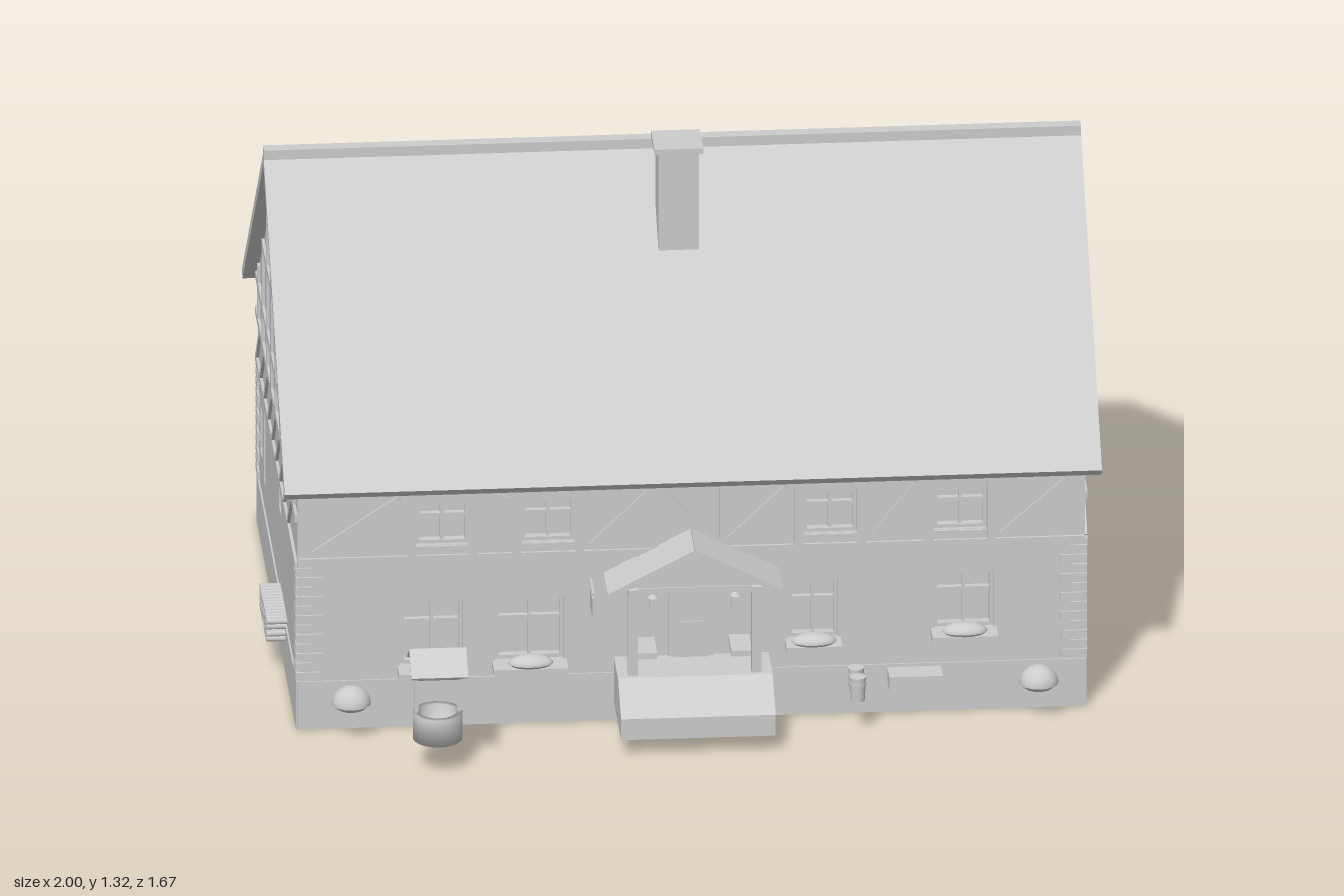
import * as THREE from 'three';

const grey = new THREE.MeshStandardMaterial({ color: 0xcccccc });
grey.name = 'plain grey';

const T = 0.03;                      // wall thickness
const X0 = -0.95, X1 = 0.96, Z0 = -0.77, Z1 = 0.5, RIDGE_Z = -0.135;
const gableY = z => 1.215 - Math.abs(z - RIDGE_Z) * 0.89;

function add(parent, name, geo, x = 0, y = 0, z = 0) {
  const m = new THREE.Mesh(geo, grey);
  m.name = name;
  m.position.set(x, y, z);
  parent.add(m);
  return m;
}
// box given by its limits
const box = (p, name, x0, x1, y0, y1, z0, z1) =>
  add(p, name, new THREE.BoxGeometry(x1 - x0, y1 - y0, z1 - z0), (x0 + x1) / 2, (y0 + y1) / 2, (z0 + z1) / 2);
const cyl = (p, name, r0, r1, h, x, y, z, n = 16) => add(p, name, new THREE.CylinderGeometry(r0, r1, h, n), x, y, z);
const poly = pts => new THREE.Shape(pts.map(([x, y]) => new THREE.Vector2(x, y)));
const extrude = (shape, depth) => new THREE.ExtrudeGeometry(shape, { depth, bevelEnabled: false });
function group(parent, name, x = 0, y = 0, z = 0) {
  const g = new THREE.Group();
  g.name = name;
  g.position.set(x, y, z);
  parent.add(g);
  return g;
}
const dome = (p, name, x, y, z, r, h, d) => {
  const m = add(p, name, new THREE.SphereGeometry(1, 16, 8, 0, Math.PI * 2, 0, Math.PI / 2), x, y, z);
  m.scale.set(r, h, d);
  const base = add(p, name + 'Base', new THREE.CylinderGeometry(r, r * 0.7, 0.012, 16), x, y - 0.006, z);
  base.scale.z = d / r;
};

// timber lying on a wall face, from one point to another
function beam(wall, u1, y1, u2, y2, w = 0.02) {
  const m = add(wall, 'timber', new THREE.BoxGeometry(Math.hypot(u2 - u1, y2 - y1), w, 0.008), (u1 + u2) / 2, (y1 + y2) / 2, T + 0.003);
  m.rotation.z = Math.atan2(y2 - y1, u2 - u1);
}

// wall with window openings [u0, u1, y0, y1], frames and glazing bars
function makeWall(house, name, pos, turn, outline, windows) {
  const wall = group(house, name, ...pos);
  wall.rotation.y = turn;
  const shape = poly(outline);
  for (const [a, b, c, d] of windows) {
    shape.holes.push(new THREE.Path([[a, c], [a, d], [b, d], [b, c]].map(q => new THREE.Vector2(...q))));
    const f = 0.009, mid = (a + b) / 2, bar = c + (d - c) * 0.65;
    box(wall, 'windowFrame', a, a + f, c, d, 0, 0.02);
    box(wall, 'windowFrame', b - f, b, c, d, 0, 0.02);
    box(wall, 'windowFrame', a + f, b - f, d - f, d, 0, 0.02);
    box(wall, 'windowFrame', a + f, b - f, c, c + f, 0, 0.02);
    box(wall, 'glazingBar', mid - 0.004, mid + 0.004, c, d, 0, 0.016);
    box(wall, 'glazingBar', a, b, bar - 0.004, bar + 0.004, 0, 0.015);
  }
  add(wall, name + 'Face', extrude(shape, T));
  // plinth band and corner stones
  const u0 = outline[0][0], u1 = outline[1][0];
  box(wall, 'plinth', u0, u1, 0, 0.125, T - 0.01, T + 0.004);
  for (let i = 0; i < 12; i++) {
    const len = i % 2 ? 0.035 : 0.06, y = 0.13 + i * 0.025;
    box(wall, 'cornerStone', u0 - 0.004, u0 + len, y, y + 0.02, T - 0.01, T + 0.005);
    box(wall, 'cornerStone', u1 - len, u1 + 0.004, y, y + 0.02, T - 0.01, T + 0.005);
  }
  return wall;
}

function longWall(house, name, pos, turn, u0, u1, windows) {
  const w = makeWall(house, name, pos, turn, [[u0, 0], [u1, 0], [u1, 0.65], [u0, 0.65]], windows);
  beam(w, u0, 0.44, u1, 0.44);
  beam(w, u0, 0.615, u1, 0.615);
  const upper = windows.filter(q => q[2] > 0.45).sort((a, b) => a[0] - b[0]);
  for (const [a, b, c] of upper) {
    for (const u of [a - 0.012, b + 0.012]) beam(w, u, 0.45, u, 0.605);
    beam(w, a, c - 0.008, b, c - 0.008, 0.014);
  }
  // posts and slanted braces between the windows
  const ends = [u0, ...upper.flatMap(q => [q[0], q[1]]), u1];
  for (let i = 0; i < ends.length; i += 2) {
    const a = ends[i] + 0.03, b = ends[i + 1] - 0.03, n = Math.max(1, Math.round((b - a) / 0.16));
    for (let k = 0; k < n; k++) {
      const p = a + (b - a) * k / n, q = a + (b - a) * (k + 1) / n;
      if (k) beam(w, p, 0.45, p, 0.605);
      if (k % 2 === 0) beam(w, p + 0.01, 0.46, q - 0.01, 0.6);
      else beam(w, p + 0.01, 0.6, q - 0.01, 0.46);
    }
  }
  return w;
}

function gableWall(house, name, pos, turn, s, windows) {
  const a = Math.min(s * Z0, s * Z1), b = Math.max(s * Z0, s * Z1), r = s * RIDGE_Z;
  const w = makeWall(house, name, pos, turn, [[a, 0], [b, 0], [b, 0.65], [r, 1.215], [a, 0.65]], windows);
  beam(w, a, 0.43, b, 0.43);
  beam(w, a, 0.555, s > 0 ? b : b - 0.16, 0.555);
  beam(w, a, 0.65, b, 0.65);
  for (const y of [0.82, 0.99]) {
    const h = (1.215 - y) / 0.89 - 0.015;
    beam(w, r - h, y, r + h, y);
  }
  for (let i = -4; i <= 4; i++) {
    const u = r + i * 0.14;
    beam(w, u, 0.56, u, gableY(s * u) - 0.012);
  }
  for (let i = 0; i < 9; i++) beam(w, a + 0.02 + i * 0.125, 0.44, a + 0.12 + i * 0.125, 0.545, 0.016);
  return w;
}

function roofSlope(house, turn, x0, x1, notches) {
  const holder = group(house, 'roofSlope', 0, 1.247, RIDGE_Z);
  holder.rotation.y = turn;
  const L = 0.915, N = 0.86, pts = [[x0, 0], [x0, -L]];
  for (const [a, b] of notches) pts.push([a, -L], [a, -N], [b, -N], [b, -L]);
  pts.push([x1, -L], [x1, 0]);
  const m = add(holder, 'roofTiles', extrude(poly(pts), 0.025).translate(0, 0, -0.025));
  m.rotation.x = -Math.atan2(0.685, 0.607);
}

export function createModel() {
  const model = new THREE.Group();
  model.name = 'farmhouse';

  // solid core behind the walls, open foundation below
  const core = poly([[Z0 + T, 0.12], [Z1 - T, 0.12], [Z1 - T, 0.64], [RIDGE_Z, 1.19], [Z0 + T, 0.64]]);
  add(model, 'core', extrude(core, X1 - X0 - 2 * T).rotateY(-Math.PI / 2), X1 - T, 0, 0);
  box(model, 'hearthFoundation', -0.195, 0.195, 0.07, 0.13, -0.2, 0.26);

  // walls
  const sill = [[-0.7, -0.55, 0.16, 0.33], [-0.47, -0.305, 0.165, 0.33], [0.24, 0.36, 0.2, 0.353], [0.594, 0.738, 0.215, 0.364]];
  const front = longWall(model, 'frontWall', [0, 0, Z1 - T], 0, X0, X1, [...sill,
    [-0.663, -0.535, 0.475, 0.588], [-0.406, -0.278, 0.475, 0.588], [0.278, 0.406, 0.475, 0.588], [0.594, 0.722, 0.475, 0.588]]);
  const around = (u, y, w, h) => [u - w / 2, u + w / 2, y - h / 2, y + h / 2];
  longWall(model, 'backWall', [0, 0, Z0 + T], Math.PI, -X1, -X0, [
    ...[-0.66, -0.18, 0.23, 0.7].map(u => around(u, 0.535, 0.11, 0.11)),
    around(0, 0.3, 0.13, 0.12), around(0.53, 0.29, 0.12, 0.12)]);
  const right = gableWall(model, 'rightGable', [X1 - T, 0, 0], Math.PI / 2, -1,
    [[-0.214, -0.09, 0.22, 0.406], [0.022, 0.15, 0.22, 0.406], [0.625, 0.69, 0.48, 0.585]]);
  add(right, 'barePatch', extrude(poly([[0.515, 0.2], [0.54, 0.185], [0.565, 0.195], [0.545, 0.24], [0.55, 0.31], [0.555, 0.355], [0.52, 0.358]]), 0.006), 0, 0, T);
  gableWall(model, 'leftGable', [X0 + T, 0, 0], -Math.PI / 2, 1,
    [around(-0.66, 0.28, 0.06, 0.12), around(-0.55, 0.28, 0.05, 0.18), around(-0.06, 0.375, 0.07, 0.09)]);

  // flower bowls on window sills
  for (const [a, b, c] of sill) {
    box(front, 'windowSill', a - 0.008, b + 0.008, c - 0.016, c, T, T + 0.06);
    dome(front, 'flowerBowl', (a + b) / 2, c + 0.006, T + 0.035, 0.055, 0.022, 0.03);
  }

  // roof
  roofSlope(model, 0, -0.985, 0.998, []);
  roofSlope(model, Math.PI, -0.998, 0.985, [[-0.57, -0.425], [0.495, 0.64]]);
  box(model, 'ridgeCap', -0.985, 0.998, 1.23, 1.258, RIDGE_Z - 0.016, RIDGE_Z + 0.016);

  // main chimney
  box(model, 'mainChimney', -0.043, 0.055, 1.0, 1.31, -0.015, 0.085);
  box(model, 'chimneyCap', -0.053, 0.065, 1.308, 1.322, -0.023, 0.094);

  // back chimneys
  for (const x of [-0.676, 0.287]) {
    box(model, 'backChimney', x - 0.042, x + 0.042, 0.215, 0.915, -0.832, -0.765);
    cyl(model, 'chimneyPot', 0.01, 0.012, 0.04, x, 0.933, -0.8);
    cyl(model, 'chimneyPotRim', 0.015, 0.015, 0.007, x, 0.953, -0.8);
  }

  // dormers on the back slope
  for (const x of [-0.567, 0.497]) {
    const d = group(model, 'dormer', x);
    box(d, 'dormerBody', -0.06, 0.06, 0.63, 0.85, -0.75, -0.6);
    box(d, 'dormerRoof', -0.073, 0.073, 0.847, 0.86, -0.765, -0.585);
    for (const s of [-0.036, 0, 0.036]) box(d, 'dormerWindow', s - 0.004, s + 0.004, 0.72, 0.825, -0.757, -0.749);
    for (const y of [0.72, 0.785, 0.825]) box(d, 'dormerWindow', -0.04, 0.04, y - 0.004, y + 0.004, -0.757, -0.749);
  }

  // roof vent
  box(model, 'ventBase', 0.88, 0.91, 0.87, 0.93, -0.548, -0.505);
  cyl(model, 'ventPipe', 0.01, 0.01, 0.06, 0.895, 0.94, -0.51, 10);

  // porch
  const porch = group(model, 'porch', 0.005);
  const ramp = poly([[-0.49, 0.045], [-0.73, 0.045], [-0.73, 0.1], [-0.63, 0.165], [-0.49, 0.165]].reverse());
  add(porch, 'porchSteps', extrude(ramp, 0.375).rotateY(Math.PI / 2), -0.1875, 0, 0);
  for (const s of [-1, 1]) {
    box(porch, 'porchPost', s * 0.15 - 0.012, s * 0.15 + 0.012, 0.165, 0.39, 0.595, 0.619);
    box(porch, 'porchBeam', s * 0.15 - 0.012, s * 0.15 + 0.012, 0.375, 0.395, 0.49, 0.63);
    box(porch, 'bench', s * 0.115 - 0.025, s * 0.115 + 0.025, 0.2, 0.215, 0.5, 0.6);
    box(porch, 'lantern', s * 0.1 - 0.009, s * 0.1 + 0.009, 0.33, 0.362, 0.59, 0.608);
    cyl(porch, 'lanternTop', 0.003, 0.014, 0.012, s * 0.1, 0.368, 0.599, 8);
    const slope = add(porch, 'porchRoof', new THREE.BoxGeometry(0.237, 0.014, 0.144), s * 0.104, 0.437, 0.562);
    slope.rotation.z = -s * 0.477;
  }
  box(porch, 'porchLintel', -0.162, 0.162, 0.378, 0.394, 0.6, 0.618);
  add(porch, 'porchGable', extrude(poly([[-0.17, 0.39], [0.17, 0.39], [0, 0.48]]), 0.01), 0, 0, 0.605);
  box(porch, 'doorFrame', -0.055, 0.055, 0.165, 0.37, 0.495, 0.508);
  box(porch, 'door', -0.043, 0.043, 0.165, 0.358, 0.5, 0.514);
  for (const y of [0.19, 0.275]) box(porch, 'doorPanel', -0.03, 0.03, y, y + 0.07, 0.51, 0.518);

  // hanging board beside the porch
  box(model, 'hangingBoard', -0.242, -0.236, 0.31, 0.36, 0.515, 0.59);
  box(model, 'boardBracket', -0.242, -0.236, 0.368, 0.374, 0.49, 0.595);

  // well
  const well = group(model, 'well', -0.63, 0, 0.76);
  const rim = [[0.045, 0.09], [0.045, 0.15], [0.06, 0.15], [0.06, 0.08], [0, 0.08]].reverse();
  add(well, 'wellRing', new THREE.LatheGeometry(rim.concat([[0, 0.09]]).map(q => new THREE.Vector2(...q)), 20));
  for (const s of [-1, 1]) {
    box(well, 'wellPost', s * 0.052 - 0.005, s * 0.052 + 0.005, 0.14, 0.295, -0.005, 0.005);
    const slope = add(well, 'wellRoof', new THREE.BoxGeometry(0.138, 0.006, 0.085), 0, 0.29, s * 0.036);
    slope.rotation.x = s * 0.58;
  }
  cyl(well, 'wellWinch', 0.008, 0.008, 0.11, 0, 0.24, 0, 10).rotation.z = Math.PI / 2;

  // yard items along the front wall
  for (const x of [-0.825, 0.843]) dome(model, 'bush', x, 0.092, 0.565, 0.048, 0.045, 0.045);
  for (const z of [0.563, 0.62]) {
    cyl(model, 'barrel', 0.02, 0.017, 0.062, 0.4, 0.115, z);
    cyl(model, 'barrelHoop', 0.021, 0.021, 0.006, 0.4, 0.13, z);
  }
  box(model, 'trough', 0.48, 0.61, 0.085, 0.12, 0.51, 0.572);

  // stacked firewood on the left side
  for (let row = 0; row < 4; row++)
    for (let i = 0; i < 13; i++)
      cyl(model, 'log', 0.008, 0.008, 0.06, -0.97, 0.09 + row * 0.016, -0.055 + i * 0.0175 + (row % 2) * 0.007, 7).rotation.z = Math.PI / 2;

  return model;
}
